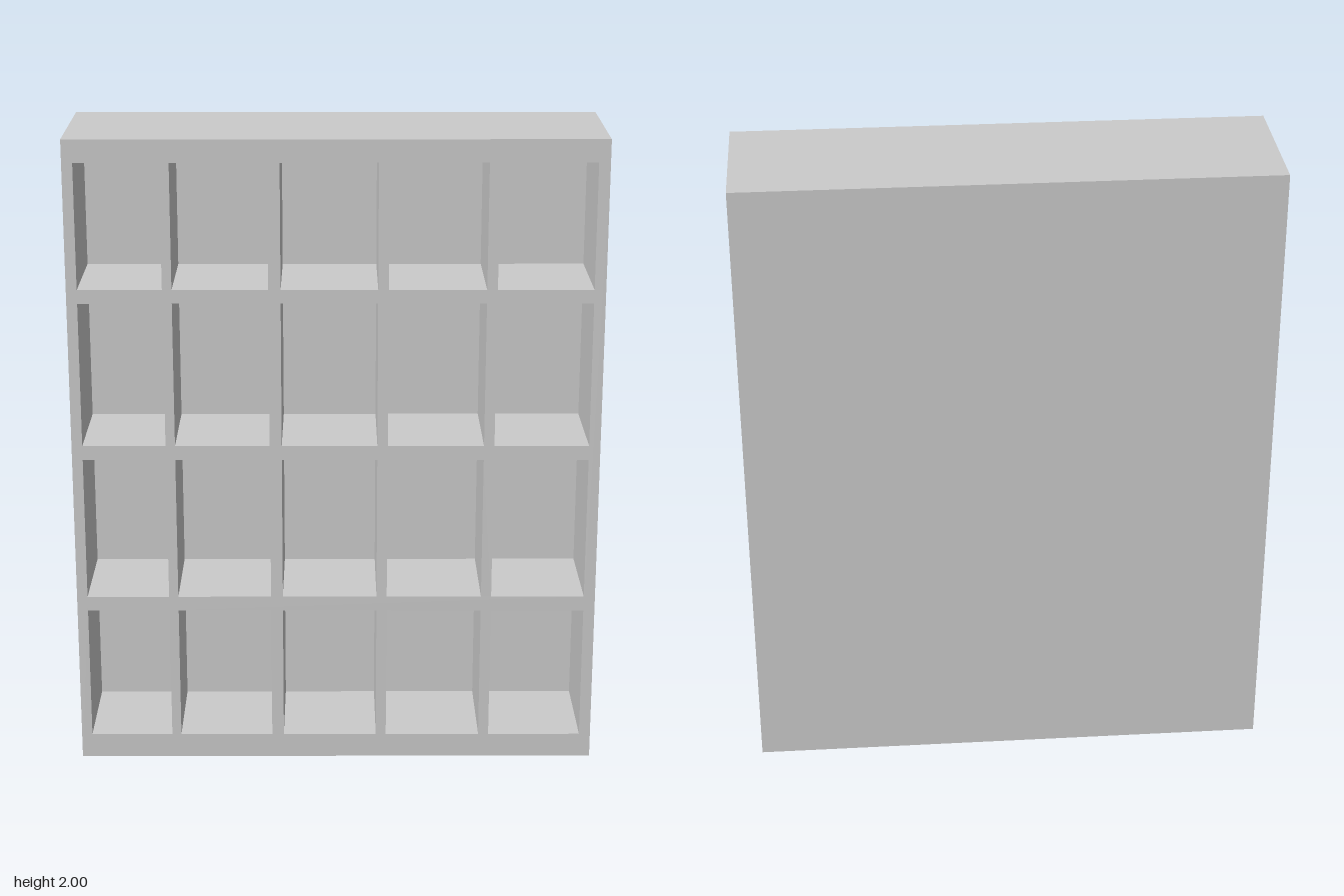
import * as THREE from 'three';

const HALF_W = 0.813, HEIGHT = 2, HALF_D = 0.225, BACK_Z = -0.105;
// Open intervals of the compartments across and up the cabinet
const COLUMNS = [[-0.78, -0.524], [-0.495, -0.204], [-0.167, 0.127], [0.159, 0.455], [0.487, 0.778]];
const ROWS = [[0.077, 0.503], [0.55, 1.003], [1.048, 1.5], [1.542, 1.93]];

function trace(path, x0, x1, y0, y1) {
  path.moveTo(x0, y0);
  path.lineTo(x1, y0);
  path.lineTo(x1, y1);
  path.lineTo(x0, y1);
  path.closePath();
  return path;
}

export function createModel() {
  const group = new THREE.Group();
  group.name = 'cubbyShelf';
  const material = new THREE.MeshStandardMaterial({ color: 0xcccccc, flatShading: true });

  // Outer frame, shelves and dividers as one grid
  const shape = trace(new THREE.Shape(), -HALF_W, HALF_W, 0, HEIGHT);
  for (const [x0, x1] of COLUMNS)
    for (const [y0, y1] of ROWS) shape.holes.push(trace(new THREE.Path(), x0, x1, y0, y1));
  const grid = new THREE.Mesh(
    new THREE.ExtrudeGeometry(shape, { depth: HALF_D - BACK_Z, bevelEnabled: false }), material);
  grid.name = 'shelfGrid';
  grid.position.z = BACK_Z;
  group.add(grid);

  // Solid back closing the compartments
  const thickness = BACK_Z + HALF_D;
  const back = new THREE.Mesh(new THREE.BoxGeometry(HALF_W * 2, HEIGHT, thickness), material);
  back.name = 'backPanel';
  back.position.set(0, HEIGHT / 2, -HALF_D + thickness / 2);
  group.add(back);

  return group;
}
